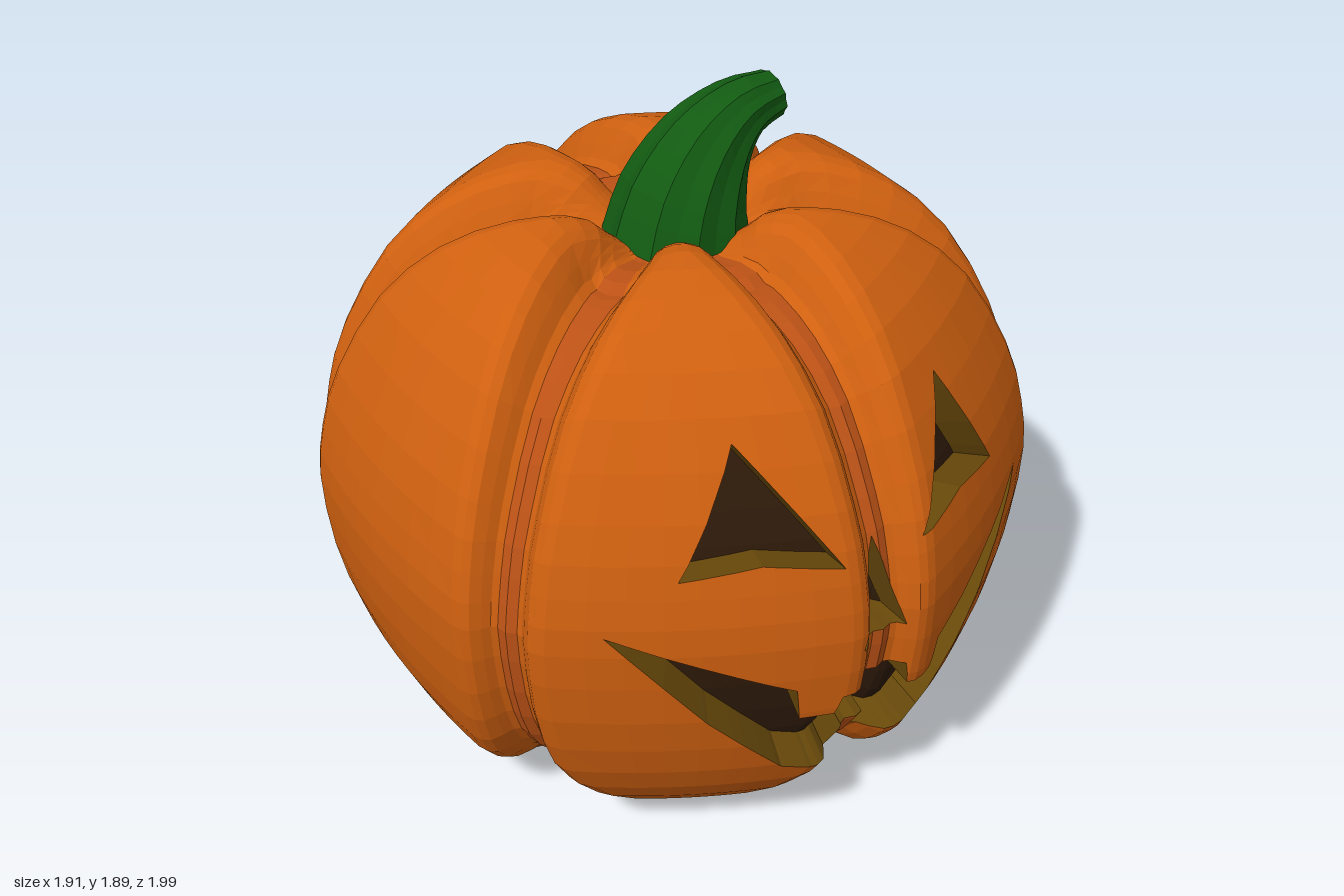
import * as THREE from 'three';

const V2 = (x, y) => new THREE.Vector2(x, y);
const V3 = (x, y, z) => new THREE.Vector3(x, y, z);

// Flat-shaded mesh from a list of convex polygons
function polyMesh(name, polys, color) {
  const pos = [];
  for (const p of polys)
    for (let i = 1; i < p.length - 1; i++)
      for (const v of [p[0], p[i], p[i + 1]]) pos.push(v.x, v.y, v.z);
  const geo = new THREE.BufferGeometry();
  geo.setAttribute('position', new THREE.Float32BufferAttribute(pos, 3));
  geo.computeVertexNormals();
  const mat = new THREE.MeshStandardMaterial({ color, flatShading: true, side: THREE.DoubleSide });
  const mesh = new THREE.Mesh(geo, mat);
  mesh.name = name;
  return mesh;
}

// Quads between consecutive closed rings
function loft(rings, emit) {
  for (let i = 0; i < rings.length - 1; i++) {
    const n = rings[i].length;
    for (let j = 0; j < n; j++) {
      const k = (j + 1) % n;
      emit([rings[i][j], rings[i + 1][j], rings[i + 1][k], rings[i][k]], j, k);
    }
  }
}

// Six-lobed skin: lobe profile swept round, with grooves pressed in along its normal
const GROOVE_U = [0, 0.028, 0.045, 0.06, 0.08, 0.1, 0.125]; // distance from the groove line
const GROOVE_G = [1, 1, 0.85, 0.55, 0.22, 0.07, 0, 0, 0, 0, 0]; // share of the groove depth

function skin() {
  const profile = new THREE.SplineCurve([
    V2(0.575, 0), V2(0.73, 0.12), V2(0.86, 0.31), V2(0.93, 0.54), V2(0.955, 0.8), V2(0.937, 0.98),
    V2(0.88, 1.18), V2(0.75, 1.42), V2(0.585, 1.57), V2(0.4, 1.635), V2(0.27, 1.61),
    V2(0.18, 1.53), V2(0.08, 1.49)]);
  const rings = [];
  let depths = [];
  const steps = 26;
  for (let i = 0; i <= steps; i++) {
    const p = profile.getPoint(i / steps), t = profile.getTangent(i / steps);
    const nr = t.y, ny = -t.x;
    const depth = (0.08 + 0.06 * Math.abs(ny)) * THREE.MathUtils.smoothstep(p.x, 0.12, 0.3);
    // Grooves widen towards the top and bottom
    const widen = 1 + (ny < 0 ? 1.5 : 0.4) * ny * ny;
    // Half a lobe, from the groove to the middle
    const half = GROOVE_U.map(u => Math.PI / 6 - Math.asin(Math.min(u * widen / p.x, u / 0.135 * 0.5)));
    const last = half[half.length - 1];
    for (let m = 1; m <= 4; m++) half.push(last * (1 - m / 4));
    const cols = half.map((a, k) => [-a, GROOVE_G[k]]);
    for (let k = half.length - 2; k > 0; k--) cols.push([half[k], GROOVE_G[k]]);
    const ring = [];
    depths = [];
    for (let lobe = 0; lobe < 6; lobe++)
      for (const [a, g] of cols) {
        const hex = 1 + 0.085 * (a * 6 / Math.PI) ** 2;
        const r = p.x * hex - nr * depth * g, th = a + lobe * Math.PI / 3;
        ring.push(V3(r * Math.cos(th), p.y - ny * depth * g, r * Math.sin(th)));
        depths.push(g);
      }
    rings.push(ring);
  }
  const skinPolys = [], groovePolys = [];
  loft(rings, (q, j, k) => {
    const out = depths[j] === 1 && depths[k] === 1 ? groovePolys : skinPolys;
    out.push([q[0], q[1], q[2]], [q[0], q[2], q[3]]);
  });
  return { skinPolys, groovePolys };
}

// Split a polygon by the line a-b in the xy plane
function split(poly, a, b) {
  const side = p => (b.x - a.x) * (p.y - a.y) - (b.y - a.y) * (p.x - a.x);
  const left = [], right = [];
  poly.forEach((p, i) => {
    const q = poly[(i + 1) % poly.length], s = side(p), t = side(q);
    if (s >= 0) left.push(p);
    if (s <= 0) right.push(p);
    if (s * t < 0) {
      const m = p.clone().lerp(q, s / (s - t));
      left.push(m);
      right.push(m);
    }
  });
  return [left, right];
}

// Take a triangle out of front-facing polygons; the cut pieces go to `removed`
function carve(polys, tri, removed) {
  const kept = [];
  for (const poly of polys) {
    let rest = poly;
    const outside = [];
    if (poly[0].z > 0.3)
      for (let i = 0; i < 3 && rest.length > 2; i++) {
        const [inn, out] = split(rest, tri[i], tri[(i + 1) % 3]);
        if (out.length > 2) outside.push(out);
        rest = inn;
      }
    if (poly[0].z > 0.3 && rest.length > 2) {
      kept.push(...outside);
      removed.push(rest);
    } else kept.push(poly);
  }
  return kept;
}

// Point pushed into the body
const CENTRE = V3(0, 0.87, 0);
const sink = p => p.clone().addScaledVector(p.clone().sub(CENTRE).normalize(), -0.1);

function onOutline(p, q, outline) {
  return outline.some((a, i) => {
    const d = outline[(i + 1) % outline.length].clone().sub(a), len = d.length();
    return [p, q].every(v => {
      const x = v.x - a.x, y = v.y - a.y, s = (x * d.x + y * d.y) / len;
      return Math.abs(x * d.y - y * d.x) / len < 1e-5 && s > -1e-4 && s < len + 1e-4;
    });
  });
}

const eye = cx => [V2(cx, 1.35), V2(cx - 0.183, 1.04), V2(cx, 1.07), V2(cx + 0.185, 1.04)];
const FACE = {
  rightEye: eye(-0.325),
  leftEye: eye(0.283),
  nose: [V2(-0.015, 1.05), V2(-0.093, 0.78), V2(0.062, 0.78)],
  mouth: [
    [-0.675, 0.89], [-0.45, 0.59], [-0.24, 0.36], [-0.15, 0.325], [-0.07, 0.315], [-0.055, 0.42],
    [0.025, 0.42], [0.042, 0.315], [0.11, 0.315], [0.225, 0.34], [0.42, 0.55], [0.655, 0.89],
    [0.187, 0.67], [0.173, 0.565], [0.087, 0.565], [0.075, 0.64], [-0.14, 0.64], [-0.155, 0.58],
    [-0.24, 0.58], [-0.255, 0.685]].map(([x, y]) => V2(x, y)),
};

// Ribbed, tapering, bent stalk with a star-shaped end
function stem() {
  const path = new THREE.CatmullRomCurve3([
    V3(0.005, 1.46, 0), V3(0.035, 1.6, 0), V3(0.105, 1.72, 0), V3(0.205, 1.795, 0), V3(0.32, 1.818, 0)]);
  const radius = new THREE.SplineCurve([V2(0, 0.2), V2(1, 0.175), V2(2, 0.135), V2(3, 0.093), V2(4, 0.066)]);
  const rings = [], sides = 20, steps = 12;
  const ringAt = (t, scale) => {
    const c = path.getPoint(t), d = path.getTangent(t), r = radius.getPoint(t).y * scale;
    return Array.from({ length: sides }, (_, j) => {
      const a = -j / sides * Math.PI * 2, rr = r * (j % 2 ? 0.92 : 1);
      return V3(c.x - d.y * Math.cos(a) * rr, c.y + d.x * Math.cos(a) * rr, Math.sin(a) * rr);
    });
  };
  for (let i = 0; i <= steps; i++) rings.push(ringAt(i / steps, 1));
  rings.push(ringAt(0.985, 0.5), ringAt(1, 0.01));
  const polys = [];
  loft(rings, q => polys.push(q));
  return polyMesh('stem', polys, 0x125a12);
}

export function createModel() {
  const group = new THREE.Group();
  let { skinPolys, groovePolys } = skin();

  // Carved features: sunken floor and side walls
  for (const [name, outline] of Object.entries(FACE)) {
    if (THREE.ShapeUtils.isClockWise(outline)) outline.reverse();
    const removed = [];
    for (const f of THREE.ShapeUtils.triangulateShape(outline, [])) {
      const tri = f.map(i => outline[i]);
      if (THREE.ShapeUtils.isClockWise(tri)) tri.reverse();
      skinPolys = carve(skinPolys, tri, removed);
      groovePolys = carve(groovePolys, tri, removed);
    }
    const walls = [];
    for (const p of removed)
      p.forEach((a, i) => {
        const b = p[(i + 1) % p.length];
        if (onOutline(a, b, outline)) walls.push([a, b, sink(b), sink(a)]);
      });
    group.add(polyMesh(name + 'Floor', removed.map(p => p.map(sink)), 0x2e1a0a));
    group.add(polyMesh(name + 'Walls', walls, 0x68490a));
  }

  group.add(polyMesh('skin', skinPolys, 0xcf6010));
  group.add(polyMesh('grooves', groovePolys, 0xbc5216));
  group.add(stem());
  return group;
}
